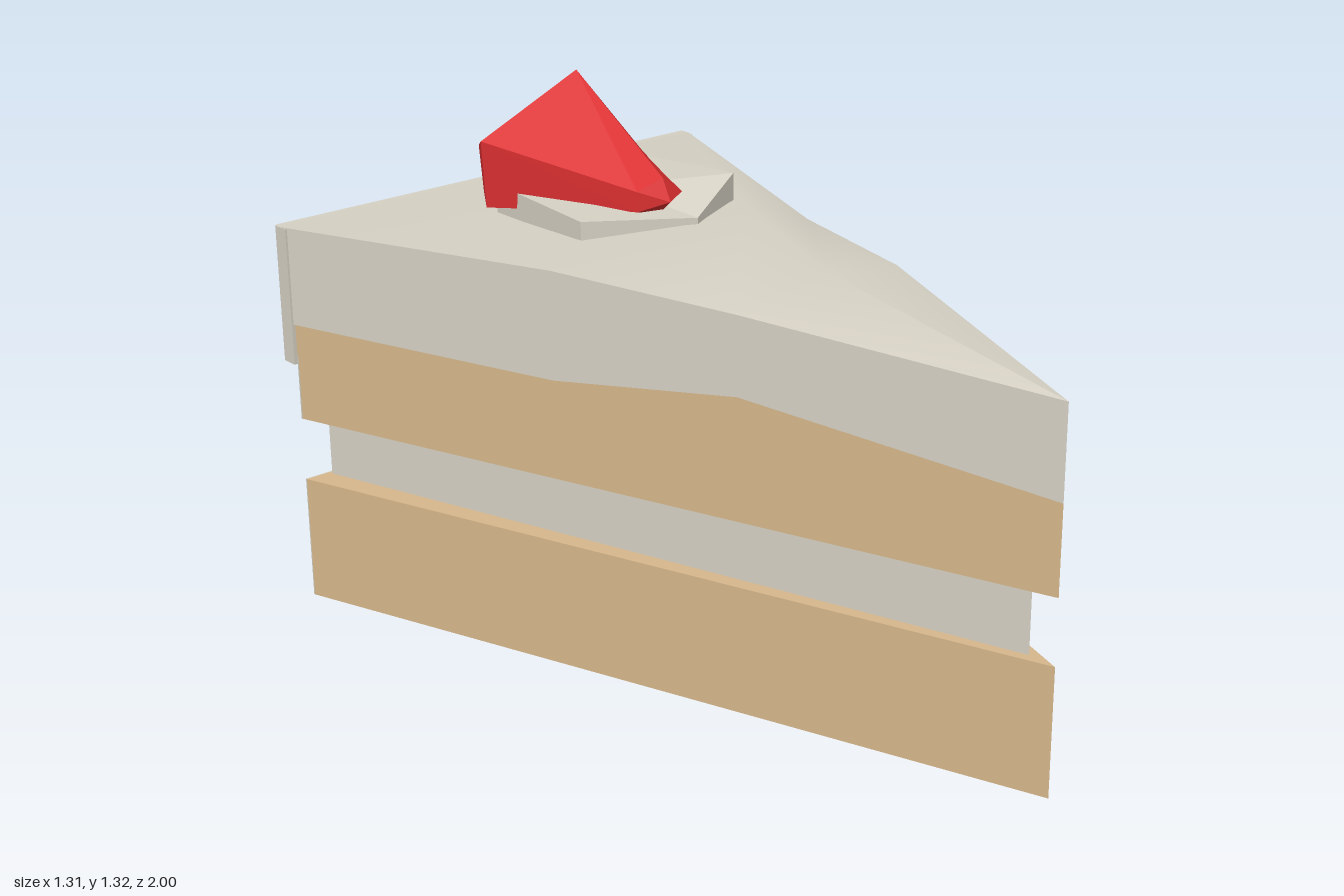
import * as THREE from 'three';

const cream = new THREE.MeshStandardMaterial({ color: 0xd6d1c4 });
cream.name = 'cream';
const sponge = new THREE.MeshStandardMaterial({ color: 0xd6b78b });
sponge.name = 'sponge';
const red = new THREE.MeshStandardMaterial({ color: 0xdb2f30 });
red.name = 'berry red';

// Half width of the slice at depth z
const halfWidth = (z) => 0.655 * (1 - z) / 1.97;

function mesh(name, geometry, material) {
  const m = new THREE.Mesh(geometry, material);
  m.name = name;
  return m;
}

// Surface through rows of equally many points
function skin(rows, { closed = false, smooth = false } = {}) {
  const n = rows[0].length, index = [];
  for (let i = 0; i < rows.length - 1; i++) {
    for (let j = 0; j < (closed ? n : n - 1); j++) {
      const a = i * n + j, b = i * n + (j + 1) % n;
      index.push(a, b, b + n, a, b + n, a + n);
    }
  }
  let g = new THREE.BufferGeometry();
  g.setAttribute('position', new THREE.Float32BufferAttribute(rows.flat(2), 3));
  g.setIndex(index);
  if (!smooth) g = g.toNonIndexed();
  g.computeVertexNormals();
  return g;
}

function triangle(tip, back, w, sign) {
  return new THREE.Shape([[0, tip], [w, back], [-w, back]]
    .map(([x, z]) => new THREE.Vector2(x, sign * z)));
}

// Flat triangular layer from y0 to y1
function layer(y0, y1, tip, back, w) {
  return new THREE.ExtrudeGeometry(triangle(tip, back, w, -1), { depth: y1 - y0, bevelEnabled: false })
    .rotateX(-Math.PI / 2).translate(0, y0, 0);
}

function box(x, y0, y1, z0, z1) {
  return new THREE.BoxGeometry(2 * x, y1 - y0, z1 - z0)
    .translate(0, (y0 + y1) / 2, (z0 + z1) / 2);
}

export function createModel() {
  const group = new THREE.Group();
  const w = halfWidth(-0.95);

  // Lower sponge and filling
  group.add(mesh('lowerSponge', layer(0, 0.325, 1, -0.947, w), sponge));
  group.add(mesh('lowerBackCream', box(w, 0, 0.325, -0.951, -0.947), cream));
  group.add(mesh('filling', layer(0.32, 0.495, 0.925, -0.935, 0.58), cream));

  // Wall line: [side, z, top of sponge, top of frosting]
  const wall = [
    [-1, -0.97, 0.74, 0.99], [-1, -0.22, 0.74, 1.01], [-1, 0.25, 0.795, 0.99],
    [0, 1, 0.71, 0.94],
    [1, 0.25, 0.745, 0.995], [1, -0.22, 0.74, 0.965], [1, -0.97, 0.745, 0.99],
  ];
  const wallRow = (height, back = -0.97) => wall.map((p) => {
    const z = Math.max(p[1], back);
    return [p[0] * halfWidth(z), height(p), z];
  });

  // Upper sponge
  group.add(mesh('upperSpongeSides',
    skin([wallRow(() => 0.49, -0.95), wallRow((p) => p[2], -0.95)]), sponge));
  group.add(mesh('upperSpongeBottom',
    new THREE.ShapeGeometry(triangle(1, -0.95, w, 1)).rotateX(Math.PI / 2).translate(0, 0.49, 0), sponge));
  group.add(mesh('upperBackCream', box(w, 0.49, 0.66, -0.951, -0.947), cream));

  // Frosting: walls, gently waved top, overhang at the back
  group.add(mesh('frostingSides', skin([wallRow((p) => p[2]), wallRow((p) => p[3])]), cream));
  const topRow = (z, left, midX, mid, right) =>
    [[-halfWidth(z), left, z], [midX, mid, z], [halfWidth(z), right, z]];
  const back = topRow(-0.97, 0.99, 0, 0.99, 0.99);
  group.add(mesh('frostingTop', skin([
    topRow(1, 0.94, 0, 0.94, 0.94),
    topRow(0.25, 0.99, 0.01, 1.038, 0.995),
    topRow(-0.22, 1.01, 0.2, 1.045, 0.965),
    back,
    back.map(([x, y]) => [x, y, -1]),
  ], { smooth: true }), cream));
  group.add(mesh('frostingBack', box(0.655, 0.635, 0.988, -1, -0.955), cream));

  // Cream dollop: bottom, rim, closed at the centre
  const rim = [
    [0.21, 1.11, -0.28], [0.23, 1.07, -0.7], [0.03, 1.08, -0.81],
    [-0.2, 1.07, -0.7], [-0.22, 1.06, -0.34], [0.03, 1.05, -0.205],
  ];
  group.add(mesh('creamDollop', skin([
    rim.map(([x, , z]) => [x, 0.97, z]),
    rim,
    rim.map(() => [0, 1.07, -0.5]),
  ], { closed: true }), cream));

  // Faceted strawberry, sections from back to tip
  const ring = (z, points) => points.map(([x, y]) => [x, y, z]);
  const point = (x, y, z) => Array.from({ length: 5 }, () => [x, y, z]);
  group.add(mesh('strawberry', skin([
    point(0.01, 1.13, -0.755),
    ring(-0.755, [[0.04, 1.26], [-0.21, 1.16], [-0.2, 1.04], [0, 1.03], [0.21, 1.08]]),
    ring(-0.69, [[0.05, 1.32], [-0.25, 1.19], [-0.24, 1.02], [0, 1.01], [0.26, 1.07]]),
    ring(-0.31, [[0.01, 1.13], [-0.07, 1.11], [-0.07, 1.06], [0, 1.045], [0.07, 1.085]]),
    point(0, 1.08, -0.27),
  ], { closed: true }), red));

  return group;
}
